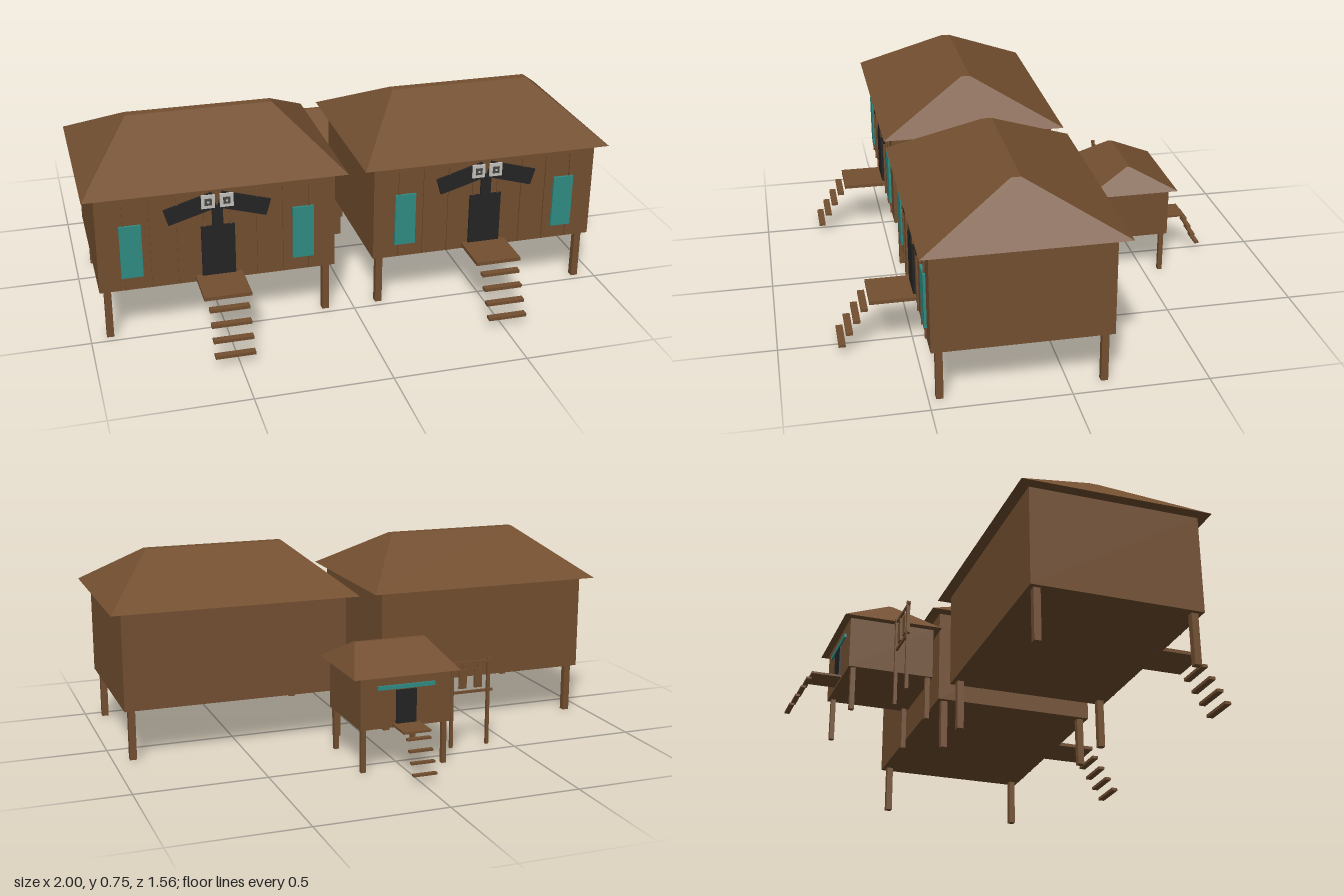
import * as THREE from 'three';

const mat = (name, color, opts = {}) => {
  const m = new THREE.MeshStandardMaterial({ color, ...opts });
  m.name = name;
  return m;
};
const wood = mat('brown wood', 0x734f30);
const black = mat('black', 0x242424);
const teal = mat('teal', 0x2f8c84);
const pale = mat('pale grey', 0xc4c2bd);
const grey = mat('dark grey', 0x4a4845);

// Box given by its limits on each axis
function box(parent, name, material, [x0, x1], [y0, y1], [z0, z1]) {
  const mesh = new THREE.Mesh(new THREE.BoxGeometry(x1 - x0, y1 - y0, z1 - z0), material);
  mesh.position.set((x0 + x1) / 2, (y0 + y1) / 2, (z0 + z1) / 2);
  mesh.name = name;
  parent.add(mesh);
  return mesh;
}

// Hipped roof: a box whose top is drawn in to a narrow ridge
function hipRoof(parent, width, depth, y0, y1, ridgeX, ridgeZ, z) {
  const h = y1 - y0;
  const geo = new THREE.BoxGeometry(width, h, depth);
  const p = geo.attributes.position;
  for (let i = 0; i < p.count; i++) {
    if (p.getY(i) > 0) {
      p.setX(i, Math.sign(p.getX(i)) * ridgeX / 2);
      p.setZ(i, Math.sign(p.getZ(i)) * ridgeZ / 2);
    }
  }
  geo.computeVertexNormals();
  const mesh = new THREE.Mesh(geo, wood);
  mesh.position.set(0, (y0 + y1) / 2, z);
  mesh.name = 'roof';
  parent.add(mesh);
}

function posts(parent, xs, zs, top, w) {
  for (const x of xs) for (const z of zs)
    box(parent, 'post', wood, [x - w / 2, x + w / 2], [0, top], [z - w / 2, z + w / 2]);
}

function bigHouse(name, x) {
  const g = new THREE.Group();
  g.name = name;
  g.position.x = x;
  box(g, 'walls', wood, [-0.44, 0.44], [0.197, 0.578], [-0.16, 0.49]);
  hipRoof(g, 0.967, 0.728, 0.577, 0.752, 0.553, 0.036, 0.161);
  posts(g, [-0.41, 0.41], [-0.13, 0.46], 0.2, 0.026);

  // Thin battens on the front wall
  for (let i = 1; i < 9; i++) {
    const bx = -0.44 + i * 0.0978;
    box(g, 'batten', wood, [bx - 0.003, bx + 0.003], [0.2, 0.55], [0.489, 0.496]);
  }

  // Door with a carved emblem of two arms and two square eyes above it
  box(g, 'door', black, [-0.062, 0.062], [0.222, 0.42], [0.49, 0.499]);
  box(g, 'doorNeck', black, [-0.02, 0.02], [0.418, 0.5], [0.49, 0.499]);
  for (const s of [-1, 1]) {
    const arm = box(g, 'arm', black, [-0.093, 0.093], [-0.032, 0.032], [0.49, 0.499]);
    arm.position.x = s * 0.099;
    arm.position.y = 0.497;
    arm.rotation.z = -s * 0.285;
    const e = s * 0.034;
    box(g, 'eye', pale, [e - 0.025, e + 0.025], [0.495, 0.547], [0.497, 0.505]);
    box(g, 'pupil', grey, [e - 0.013, e + 0.013], [0.508, 0.534], [0.503, 0.508]);
    box(g, 'pupilSpot', pale, [e - 0.004, e + 0.004], [0.517, 0.525], [0.505, 0.51]);
    const w = s * 0.318;
    box(g, 'window', teal, [w - 0.04, w + 0.04], [0.25, 0.456], [0.49, 0.499]);
  }

  // Porch and stairs
  box(g, 'porch', wood, [-0.087, 0.087], [0.208, 0.222], [0.48, 0.662]);
  for (let i = 0; i < 4; i++) {
    const y = 0.18 - i * 0.0463, z = 0.68 + i * 0.029;
    box(g, 'step', wood, [-0.073, 0.073], [y - 0.006, y + 0.006], [z - 0.013, z + 0.013]);
  }
  return g;
}

function smallHouse() {
  const g = new THREE.Group();
  g.name = 'smallHouse';
  box(g, 'walls', wood, [-0.181, 0.177], [0.167, 0.37], [-0.59, -0.263]);
  hipRoof(g, 0.418, 0.38, 0.367, 0.46, 0.284, 0.015, -0.427);
  posts(g, [-0.163, 0.16], [-0.28, -0.57], 0.17, 0.018);
  box(g, 'door', black, [-0.042, 0.038], [0.18, 0.31], [-0.597, -0.589]);
  box(g, 'doorLintel', teal, [-0.115, 0.11], [0.315, 0.33], [-0.598, -0.589]);
  box(g, 'porch', wood, [-0.056, 0.052], [0.174, 0.182], [-0.703, -0.58]);
  for (let i = 0; i < 4; i++) {
    const y = 0.157 - i * 0.0387, z = -0.711 - i * 0.0197;
    box(g, 'step', wood, [-0.048, 0.044], [y - 0.004, y + 0.004], [z - 0.009, z + 0.009]);
  }
  return g;
}

// Drying rack beside the small house
function dryingRack() {
  const g = new THREE.Group();
  g.name = 'dryingRack';
  const z = -0.43;
  posts(g, [-0.413, -0.26], [z], 0.35, 0.012);
  box(g, 'topRail', wood, [-0.433, -0.24], [0.332, 0.342], [z - 0.004, z + 0.004]);
  box(g, 'lowerRail', wood, [-0.433, -0.24], [0.215, 0.225], [z - 0.004, z + 0.004]);
  for (const x of [-0.37, -0.305]) {
    box(g, 'hangingSlab', wood, [x - 0.016, x + 0.016], [0.235, 0.31], [z - 0.004, z + 0.004]);
    box(g, 'hanger', wood, [x - 0.002, x + 0.002], [0.31, 0.335], [z - 0.002, z + 0.002]);
  }
  return g;
}

export function createModel() {
  const model = new THREE.Group();
  model.name = 'stiltVillage';
  model.add(bigHouse('rightHouse', -0.517), bigHouse('leftHouse', 0.514), smallHouse(), dryingRack());
  return model;
}
